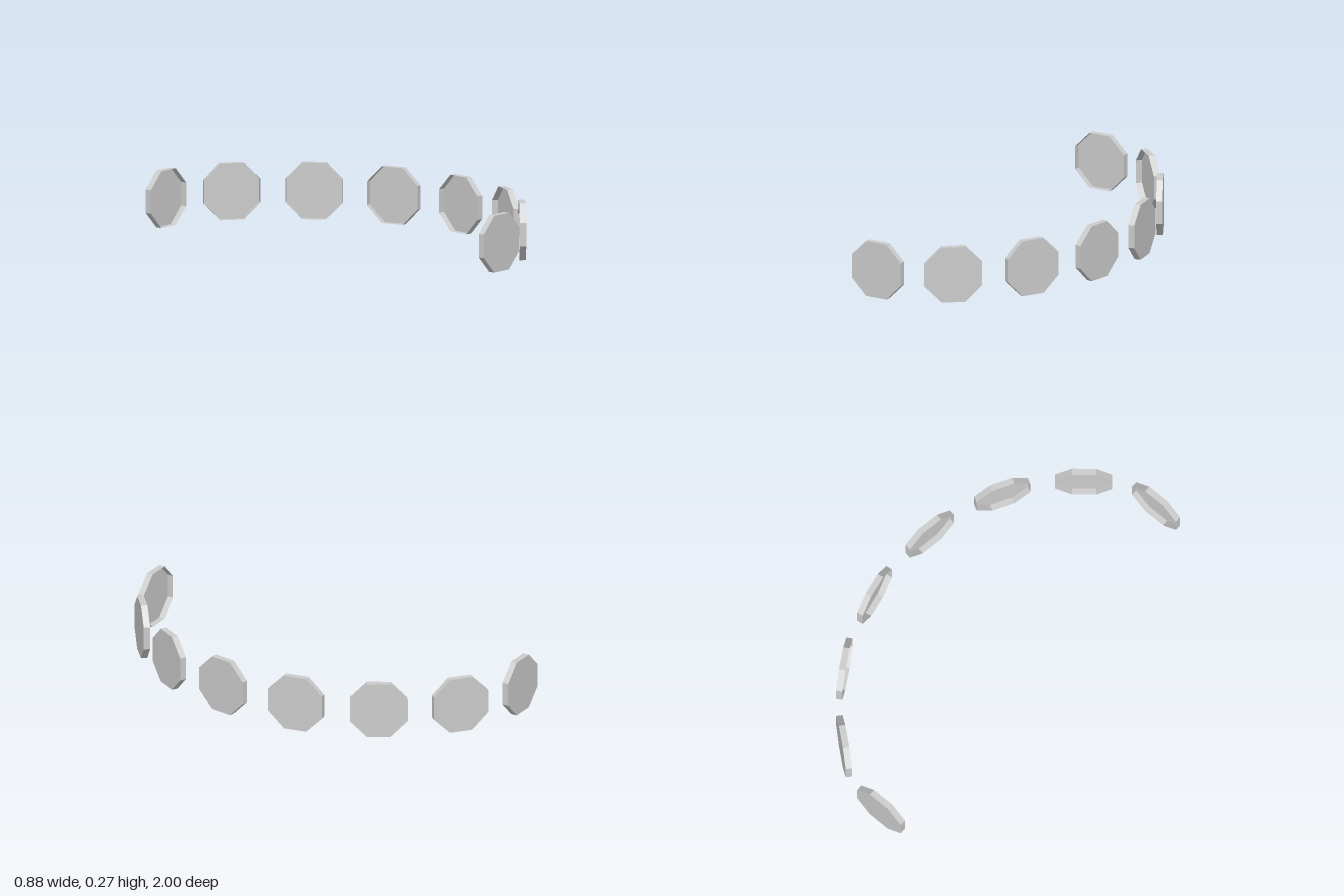
import * as THREE from 'three';

export function createModel() {
  const model = new THREE.Group();
  const material = new THREE.MeshStandardMaterial({
    color: 0xcccccc, flatShading: true, side: THREE.DoubleSide,
  });

  // One upright octagonal shell: a rim and an outer face, open on the inner side
  const halfHeight = 0.1335;
  const halfDepth = 0.015;
  const radius = halfHeight / Math.cos(Math.PI / 8);
  const profile = [
    new THREE.Vector2(radius, -halfDepth),
    new THREE.Vector2(radius, halfDepth),
    new THREE.Vector2(0, halfDepth),
  ];
  const plate = new THREE.LatheGeometry(profile, 8, Math.PI / 8);
  plate.rotateX(Math.PI / 2);

  // Half of the arc: x, z and outward turn in degrees
  const places = [
    [-0.308, 0.985, 0],
    [0.0255, 0.859, 40],
    [0.2735, 0.566, 60],
    [0.4025, 0.198, 80],
  ];

  // Mirror the half arc from front to back, outer faces pointing away from the arc
  for (const side of [1, -1]) {
    places.forEach(([x, z, degrees], i) => {
      const turn = THREE.MathUtils.degToRad(degrees);
      const mesh = new THREE.Mesh(plate, material);
      mesh.name = `${side > 0 ? 'front' : 'back'}Plate${i + 1}`;
      mesh.position.set(x, halfHeight, side * z);
      mesh.rotation.y = side > 0 ? turn : Math.PI - turn;
      model.add(mesh);
    });
  }
  return model;
}
